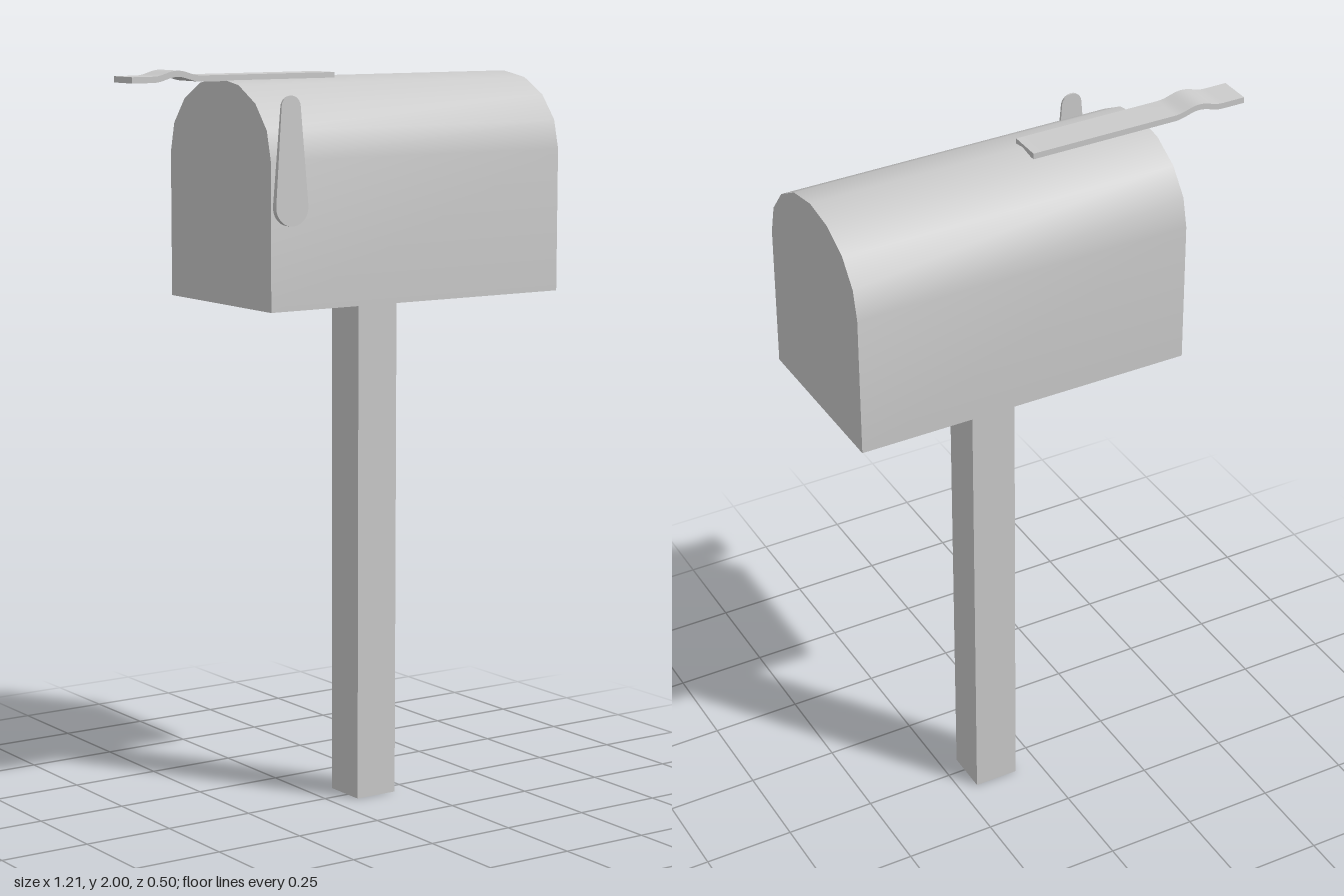
import * as THREE from 'three';
import { toCreasedNormals } from 'three/addons/utils/BufferGeometryUtils.js';

const material = new THREE.MeshStandardMaterial({ color: 0xcccccc });
const openMaterial = new THREE.MeshStandardMaterial({ color: 0xcccccc, side: THREE.DoubleSide, flatShading: true });

function extrude(shape, depth, curveSegments = 12) {
  return new THREE.ExtrudeGeometry(shape, { depth, curveSegments, bevelEnabled: false });
}

function addPart(group, name, geometry, mat = material) {
  const mesh = new THREE.Mesh(geometry, mat);
  mesh.name = name;
  group.add(mesh);
  return mesh;
}

// Square hollow post, open at the foot
function postGeometry() {
  const side = 0.125, height = 1.39;
  const r = side / Math.SQRT2;
  return new THREE.CylinderGeometry(r, r, height, 4, 1, true)
    .rotateY(Math.PI / 4)
    .translate(0.137, height / 2, -0.013);
}

// Box with an eight-sided arched roof, running along x
function bodyGeometry() {
  const half = 0.244, floor = 1.39, spring = 1.775, rise = 0.202, steps = 8;
  const points = [new THREE.Vector2(-half, floor), new THREE.Vector2(half, floor)];
  for (let i = 0; i <= steps; i++) {
    const a = (i / steps) * Math.PI;
    points.push(new THREE.Vector2(half * Math.cos(a), spring + rise * Math.sin(a)));
  }
  const geometry = extrude(new THREE.Shape(points), 0.925);
  geometry.rotateY(Math.PI / 2).translate(-0.325, 0, -0.008);
  return toCreasedNormals(geometry, 0.6);
}

// Flat strip on the roof with a smooth hump near its free end
function stripGeometry() {
  const x0 = -0.605, x1 = 0.013, humpA = -0.54, humpB = -0.4, steps = 12;
  const base = 1.97, thickness = 0.016, hump = 0.014;
  const lower = [new THREE.Vector2(x0, base)];
  for (let i = 0; i <= steps; i++) {
    const t = i / steps;
    const y = base + hump * 0.5 * (1 - Math.cos(2 * Math.PI * t));
    lower.push(new THREE.Vector2(THREE.MathUtils.lerp(humpA, humpB, t), y));
  }
  lower.push(new THREE.Vector2(x1, base));
  const upper = lower.map(p => new THREE.Vector2(p.x, p.y + thickness)).reverse();
  const geometry = extrude(new THREE.Shape([...lower, ...upper]), 0.09);
  geometry.translate(0, 0, -0.065);
  return toCreasedNormals(geometry, 0.7);
}

// Teardrop flag, thick at the pivot and thin at the tip
function flagGeometry() {
  const x = -0.27, low = 1.658, high = 1.911, rLow = 0.049, rHigh = 0.029;
  const tilt = Math.asin((rLow - rHigh) / (high - low));
  const shape = new THREE.Shape();
  shape.absarc(x, high, rHigh, tilt, Math.PI - tilt, false);
  shape.absarc(x, low, rLow, Math.PI - tilt, 2 * Math.PI + tilt, false);
  const geometry = extrude(shape, 1, 10);
  const p = geometry.attributes.position;
  for (let i = 0; i < p.count; i++) {
    const t = (p.getY(i) - 1.609) / 0.331;
    const thickness = THREE.MathUtils.lerp(0.017, 0.005, t);
    p.setZ(i, 0.2435 + (p.getZ(i) - 0.5) * thickness);
  }
  return toCreasedNormals(geometry, 0.6);
}

export function createModel() {
  const group = new THREE.Group();
  group.name = 'mailbox';
  addPart(group, 'post', postGeometry(), openMaterial);
  addPart(group, 'body', bodyGeometry());
  addPart(group, 'roofStrip', stripGeometry());
  addPart(group, 'flag', flagGeometry());
  return group;
}
